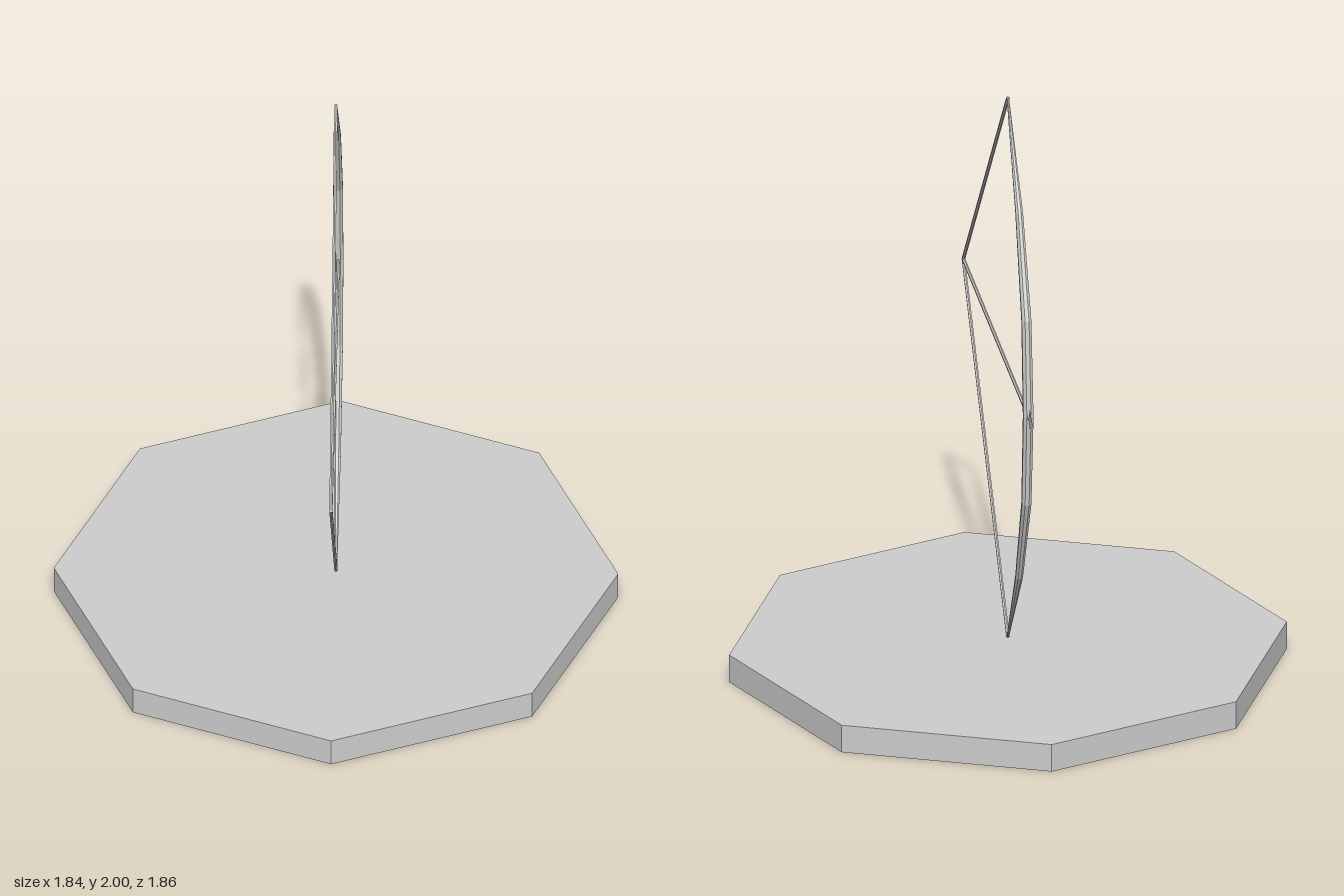
import * as THREE from 'three';

const metal = new THREE.MeshStandardMaterial({ color: 0xcccccc, flatShading: true });
const thin = new THREE.MeshStandardMaterial({ color: 0xcccccc, flatShading: true, side: THREE.DoubleSide });

const MID = 1.05, NOCK = 0.925;

function add(group, name, geometry, material = metal) {
  const mesh = new THREE.Mesh(geometry, material);
  mesh.name = name;
  group.add(mesh);
  return mesh;
}

// Straight thin rod between two points
function rod(group, name, a, b, radius) {
  const dir = b.clone().sub(a);
  const mesh = add(group, name, new THREE.CylinderGeometry(radius, radius, dir.length(), 6));
  mesh.position.copy(a).add(b).multiplyScalar(0.5);
  mesh.quaternion.setFromUnitVectors(new THREE.Vector3(0, 1, 0), dir.normalize());
}

// Tapered loft along a path of [y, z, radius] in the x = 0 plane
function taperedLimb(path, sides) {
  const pos = [], index = [];
  path.forEach(([y, z, r], i) => {
    const p = path[Math.max(i - 1, 0)], n = path[Math.min(i + 1, path.length - 1)];
    const len = Math.hypot(n[0] - p[0], n[1] - p[1]);
    const ny = -(n[1] - p[1]) / len, nz = (n[0] - p[0]) / len;
    for (let s = 0; s < sides; s++) {
      const a = ((s + 0.5) / sides) * Math.PI * 2;
      pos.push(r * Math.sin(a), y + ny * r * Math.cos(a), z + nz * r * Math.cos(a));
    }
  });
  for (let i = 0; i < path.length - 1; i++) {
    for (let s = 0; s < sides; s++) {
      const a = i * sides + s, b = i * sides + (s + 1) % sides;
      index.push(a, b, b + sides, a, b + sides, a + sides);
    }
  }
  // End caps
  const last = (path.length - 1) * sides;
  for (let s = 1; s < sides - 1; s++) {
    index.push(0, s + 1, s, last, last + s, last + s + 1);
  }
  const g = new THREE.BufferGeometry();
  g.setAttribute('position', new THREE.Float32BufferAttribute(pos, 3));
  g.setIndex(index);
  g.computeVertexNormals();
  return g;
}

export function createModel() {
  const model = new THREE.Group();
  model.name = 'bowOnPlinth';

  // Octagonal plinth
  const base = add(model, 'base', new THREE.CylinderGeometry(0.92, 0.92, 0.095, 8));
  base.position.set(0, 0.0475, -0.015);

  // Bow stave: one half profile mirrored about the grip
  const half = [[0.32, -0.402, 0.017], [0.64, -0.25, 0.013], [0.95, -0.012, 0.004]];
  const path = [
    ...half.map(([dy, z, r]) => [MID - dy, z, r]).reverse(),
    [MID, -0.44, 0.018],
    ...half.map(([dy, z, r]) => [MID + dy, z, r]),
  ];
  add(model, 'bowStave', taperedLimb(path, 8), thin);

  // Drawn string
  const nock = new THREE.Vector3(0, MID, NOCK);
  for (const [name, side] of [['upperString', 1], ['lowerString', -1]]) {
    rod(model, name, new THREE.Vector3(0, MID + side * 0.948, -0.012), nock, 0.006);
  }

  // Arrow shaft and flat head
  const arrow = new THREE.Group();
  arrow.name = 'arrow';
  model.add(arrow);
  rod(arrow, 'arrowShaft', nock, new THREE.Vector3(0, MID + 0.003, -0.475), 0.006);
  const shape = new THREE.Shape();
  shape.moveTo(0.47, -0.036).lineTo(0.54, 0).lineTo(0.47, 0.036).closePath();
  const head = add(arrow, 'arrowHead', new THREE.ShapeGeometry(shape), thin);
  head.rotation.y = Math.PI / 2;
  head.position.y = MID + 0.004;

  return model;
}
